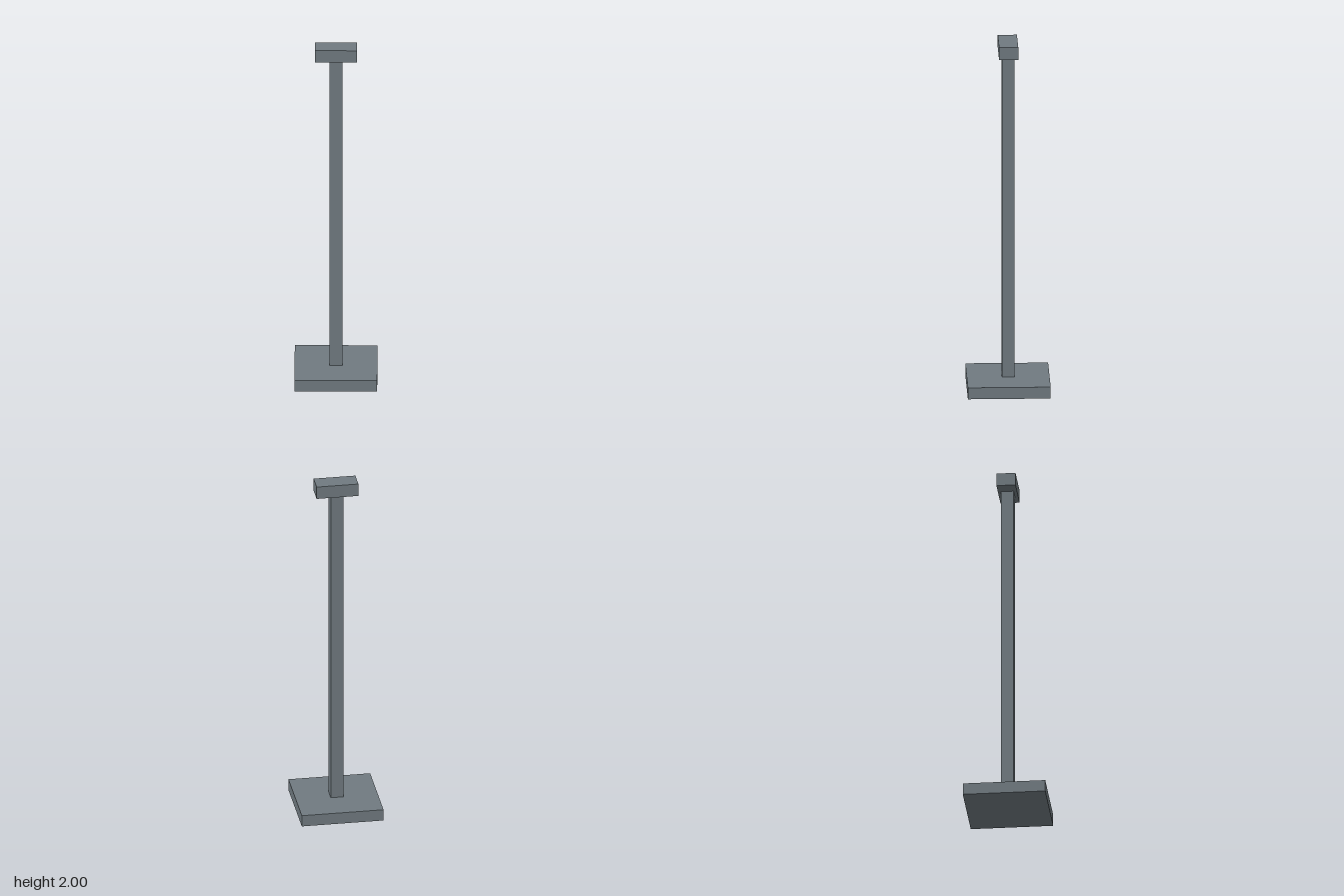
import * as THREE from 'three';

export function createModel() {
  const group = new THREE.Group();
  group.name = 'post';
  const steel = new THREE.MeshStandardMaterial({ color: 0x707a80 });
  steel.name = 'grey steel';

  // Box standing between two heights, centred on the vertical axis
  const addBox = (name, width, depth, bottom, top) => {
    const mesh = new THREE.Mesh(new THREE.BoxGeometry(width, top - bottom, depth), steel);
    mesh.name = name;
    mesh.position.y = (bottom + top) / 2;
    group.add(mesh);
  };

  addBox('basePlate', 0.458, 0.458, 0, 0.066);
  addBox('column', 0.07, 0.07, 0.066, 1.927);
  addBox('topBlock', 0.234, 0.106, 1.927, 2);

  return group;
}
